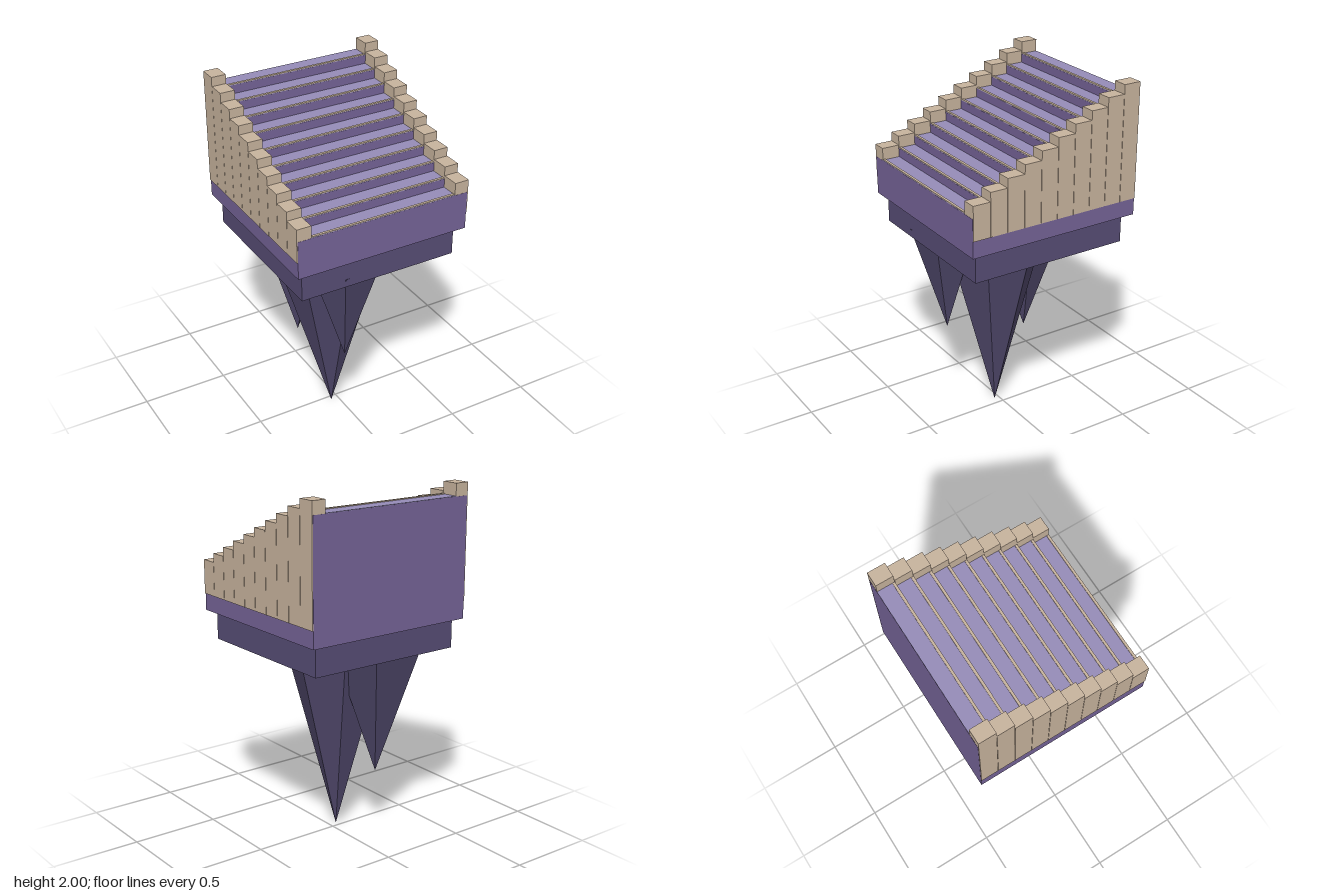
import * as THREE from 'three';

const material = (name, color) => {
  const m = new THREE.MeshStandardMaterial({ color });
  m.name = name;
  return m;
};

export function createModel() {
  const model = new THREE.Group();
  model.name = 'floatingStairs';
  const stepPurple = material('stepPurple', 0x756397);
  const treadLilac = material('treadLilac', 0x968db9);
  const sandstone = material('sandstone', 0xc8b49e);
  const plinthPurple = material('plinthPurple', 0x574d75);
  const rockPurple = material('rockPurple', 0x524a6e);

  // Box given by its bottom height and top height
  const box = (name, mat, w, d, x, y0, y1, z, parent) => {
    const mesh = new THREE.Mesh(new THREE.BoxGeometry(w, y1 - y0, d), mat);
    mesh.position.set(x, (y0 + y1) / 2, z);
    mesh.name = name;
    parent.add(mesh);
  };

  // Ten steps, each with a tread, a nosing strip and two side blocks
  const steps = 10, depth = 0.1;
  for (let i = 0; i < steps; i++) {
    const step = new THREE.Group();
    step.name = 'step';
    model.add(step);
    const z = 0.45 - i * depth;
    const top = 1.48 + i * 0.05;
    box('stepBlock', stepPurple, 1.0, depth, 0, 1.265, top, z, step);
    box('tread', treadLilac, 0.85, depth - 0.001, 0, top - 0.002, top + 0.003, z, step);
    box('nosing', sandstone, 0.84, 0.014, 0, top, top + 0.008, z + 0.042, step);
    for (const side of [-1, 1]) {
      box('sideBlock', sandstone, 0.082, 0.098, side * 0.464, 1.36, top + 0.07, z, step);
    }
  }

  // Plinth under the steps
  box('plinth', plinthPurple, 0.915, 0.915, -0.003, 1.1, 1.265, 0.002, model);

  // Faceted rock spike: a ring of corners at the base joined to a tip below
  const spike = (name, tip, baseY, sides, startDeg, rx, rz, shiftX = 0) => {
    const ring = [];
    for (let i = 0; i < sides; i++) {
      const a = THREE.MathUtils.degToRad(startDeg + (360 * i) / sides);
      ring.push([tip[0] + shiftX + rx * Math.cos(a), baseY, tip[2] + rz * Math.sin(a)]);
    }
    const centre = [tip[0] + shiftX, baseY, tip[2]];
    const points = [];
    ring.forEach((p, i) => {
      const q = ring[(i + 1) % sides];
      points.push(...p, ...tip, ...q);
      points.push(...p, ...q, ...centre);
    });
    // Reverse every triangle so that the faces look outwards
    for (let t = 0; t < points.length; t += 9) {
      for (let k = 0; k < 3; k++) {
        [points[t + 3 + k], points[t + 6 + k]] = [points[t + 6 + k], points[t + 3 + k]];
      }
    }
    const geometry = new THREE.BufferGeometry();
    geometry.setAttribute('position', new THREE.Float32BufferAttribute(points, 3));
    geometry.computeVertexNormals();
    const mesh = new THREE.Mesh(geometry, rockPurple);
    mesh.name = name;
    model.add(mesh);
  };
  spike('mainSpike', [-0.045, 0, 0.03], 1.15, 7, -11, 0.33, 0.3, -0.017);
  spike('frontSpike', [-0.115, 0.54, 0.3], 1.145, 5, 118, 0.195, 0.184);
  spike('backSpike', [-0.125, 0.39, -0.225], 1.14, 5, -50, 0.25, 0.26);

  return model;
}
